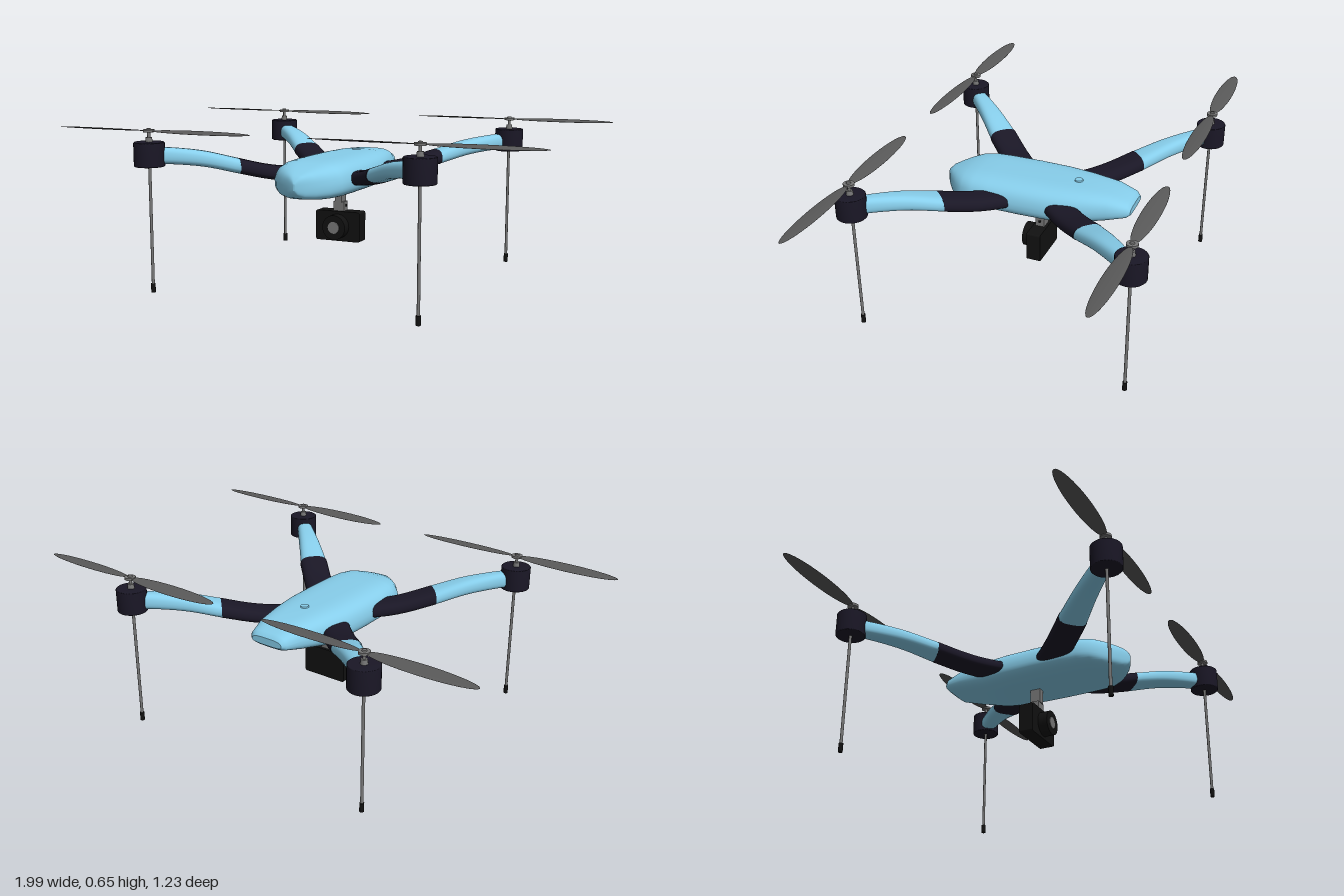
import * as THREE from 'three';

const mat = (color, side = THREE.FrontSide) =>
  new THREE.MeshStandardMaterial({ color, side });
const BLUE = mat(0x87ceeb), DARK = mat(0x1a1726), BLACK = mat(0x111111);
const METAL = mat(0x777777), BLADE = mat(0x5a5a5a);

function add(parent, name, geometry, material, x = 0, y = 0, z = 0) {
  const mesh = new THREE.Mesh(geometry, material);
  mesh.name = name;
  mesh.position.set(x, y, z);
  parent.add(mesh);
  return mesh;
}

// Skin of superellipse sections [z, halfWidth, yBottom, yTop] along +z.
// power sets the squareness, inset narrows the upper half.
function loft(sections, power, inset = 0, sides = 40) {
  const pos = [], index = [];
  const soft = v => Math.sign(v) * Math.abs(v) ** (2 / power);
  for (const [z, w, y0, y1] of sections) {
    for (let i = 0; i < sides; i++) {
      const a = (i / sides) * Math.PI * 2;
      const v = soft(Math.sin(a));
      const x = w * soft(Math.cos(a)) * (1 - inset * Math.max(0, v));
      pos.push(x, (y0 + y1) / 2 + v * (y1 - y0) / 2, z);
    }
  }
  const last = sections.length - 1;
  for (let r = 0; r < last; r++) {
    for (let i = 0; i < sides; i++) {
      const a = r * sides + i, b = r * sides + (i + 1) % sides;
      index.push(a, b, a + sides, b, b + sides, a + sides);
    }
  }
  // end caps with their own vertices so that the rims stay sharp
  for (const r of [0, last]) {
    const [z, , y0, y1] = sections[r], c = pos.length / 3;
    pos.push(0, (y0 + y1) / 2, z);
    for (let i = 0; i < sides; i++) {
      const k = (r * sides + i) * 3;
      pos.push(pos[k], pos[k + 1], pos[k + 2]);
    }
    for (let i = 0; i < sides; i++) {
      const a = c + 1 + i, b = c + 1 + (i + 1) % sides;
      if (r) index.push(c, a, b); else index.push(c, b, a);
    }
  }
  const g = new THREE.BufferGeometry();
  g.setAttribute('position', new THREE.Float32BufferAttribute(pos, 3));
  g.setIndex(index);
  g.computeVertexNormals();
  return g;
}

// Arm stretch between two radii, following a rising S-curve
function armGeometry(from, to, widthFrom, widthTo) {
  const line = new THREE.SplineCurve([
    [0.05, 0.445], [0.2, 0.446], [0.31, 0.458], [0.437, 0.488],
    [0.566, 0.52], [0.68, 0.536], [0.787, 0.544],
  ].map(p => new THREE.Vector2(...p)));
  const path = line.getPoints(60);
  const heightAt = r => {
    const i = Math.max(1, path.findIndex(p => p.x >= r - 1e-6));
    const a = path[i - 1], b = path[i];
    return a.y + (b.y - a.y) * (r - a.x) / (b.x - a.x);
  };
  const sections = [];
  for (let i = 0; i <= 14; i++) {
    const t = i / 14, r = from + (to - from) * t, y = heightAt(r);
    const h = 0.027 + 0.006 * (r / 0.787);
    sections.push([r, widthFrom + (widthTo - widthFrom) * t, y - h, y + h]);
  }
  return loft(sections, 3, 0.12, 28);
}

function createRotor() {
  const rotor = new THREE.Group();
  rotor.name = 'rotor';
  // motor can with a slightly bevelled rim
  const can = [[0, 0.5], [0.057, 0.5], [0.06, 0.503], [0.06, 0.592], [0.057, 0.595], [0, 0.595]]
    .map(p => new THREE.Vector2(...p));
  const motor = new THREE.LatheGeometry(can, 32);
  add(rotor, 'motor', motor, DARK);
  // shaft, hub and cap
  add(rotor, 'shaft', new THREE.CylinderGeometry(0.006, 0.006, 0.05, 16), METAL, 0, 0.617);
  add(rotor, 'shaftCollar', new THREE.CylinderGeometry(0.012, 0.014, 0.018, 16), METAL, 0, 0.604);
  add(rotor, 'hub', new THREE.CylinderGeometry(0.022, 0.022, 0.01, 24), METAL, 0, 0.638);
  add(rotor, 'hubCap', new THREE.CylinderGeometry(0.008, 0.01, 0.006, 16), METAL, 0, 0.645);
  // two pitched blades
  for (const s of [-1, 1]) {
    const blade = add(rotor, 'blade', new THREE.SphereGeometry(1, 40, 16), BLADE,
      0.006 + s * 0.225, 0.638);
    blade.scale.set(0.216, 0.003, 0.035);
    blade.rotation.x = s * 0.1;
  }
  // landing leg below the motor
  add(rotor, 'leg', new THREE.CylinderGeometry(0.006, 0.006, 0.48, 16), METAL, 0, 0.265);
  add(rotor, 'foot', new THREE.CylinderGeometry(0.009, 0.009, 0.036, 16), BLACK, 0, 0.018);
  return rotor;
}

function createCamera() {
  const unit = new THREE.Group();
  unit.name = 'gimbalCamera';
  add(unit, 'gimbalPost', new THREE.BoxGeometry(0.03, 0.065, 0.045), METAL, 0, 0.35);
  add(unit, 'gimbalBracket', new THREE.BoxGeometry(0.048, 0.045, 0.038), METAL, 0, 0.297);
  const bolt = add(unit, 'gimbalBolt', new THREE.CylinderGeometry(0.006, 0.006, 0.056, 16), BLACK, 0, 0.303);
  bolt.rotation.z = Math.PI / 2;

  // camera box with rounded corners
  const w = 0.099, h = 0.0625, r = 0.008, s = new THREE.Shape();
  s.absarc(w - r, h - r, r, 0, Math.PI / 2);
  s.absarc(r - w, h - r, r, Math.PI / 2, Math.PI);
  s.absarc(r - w, r - h, r, Math.PI, Math.PI * 1.5);
  s.absarc(w - r, r - h, r, Math.PI * 1.5, Math.PI * 2);
  const box = new THREE.ExtrudeGeometry(s, { depth: 0.06, bevelEnabled: false, curveSegments: 4 });
  add(unit, 'cameraBody', box, BLACK, 0, 0.218, -0.03);

  const barrel = add(unit, 'lensBarrel', new THREE.CylinderGeometry(0.051, 0.051, 0.045, 32), BLACK, 0, 0.218, 0.048);
  const glass = add(unit, 'lens', new THREE.CylinderGeometry(0.025, 0.025, 0.004, 24), METAL, 0, 0.218, 0.071);
  barrel.rotation.x = glass.rotation.x = Math.PI / 2;
  return unit;
}

export function createModel() {
  const drone = new THREE.Group();
  drone.name = 'quadcopter';

  // hull: blunt raised tail, pointed rounded nose
  const hull = loft([
    [-0.4, 0.072, 0.442, 0.472], [-0.385, 0.088, 0.43, 0.49], [-0.31, 0.113, 0.41, 0.512],
    [-0.19, 0.142, 0.383, 0.519], [-0.08, 0.16, 0.377, 0.52], [0.05, 0.165, 0.377, 0.52],
    [0.18, 0.164, 0.377, 0.519], [0.25, 0.16, 0.377, 0.517], [0.3, 0.147, 0.377, 0.511],
    [0.34, 0.117, 0.378, 0.499], [0.375, 0.077, 0.382, 0.486], [0.4, 0.043, 0.39, 0.475],
    [0.415, 0.018, 0.404, 0.46], [0.421, 0.004, 0.42, 0.446],
  ], 3.6, 0.14, 56);
  add(drone, 'hull', hull, BLUE);
  add(drone, 'topButton', new THREE.CylinderGeometry(0.016, 0.018, 0.006, 24), BLUE, 0, 0.521, -0.16);

  // four diagonal arms, each ending in a rotor
  const root = armGeometry(0.06, 0.437, 0.06, 0.06);
  const tip = armGeometry(0.437, 0.787, 0.058, 0.03);
  for (const sx of [-1, 1]) {
    for (const sz of [-1, 1]) {
      const arm = new THREE.Group();
      arm.name = `${sz > 0 ? 'front' : 'rear'}${sx > 0 ? 'Left' : 'Right'}Arm`;
      add(arm, 'armSleeve', root, DARK);
      add(arm, 'armTip', tip, BLUE);
      arm.rotation.y = Math.atan2(sx, sz);
      drone.add(arm);

      const rotor = createRotor();
      rotor.position.set(sx * 0.556, 0, sz * 0.556);
      drone.add(rotor);
    }
  }

  drone.add(createCamera());
  drone.position.x = -0.008;
  const model = new THREE.Group();
  model.name = 'model';
  model.add(drone);
  return model;
}
